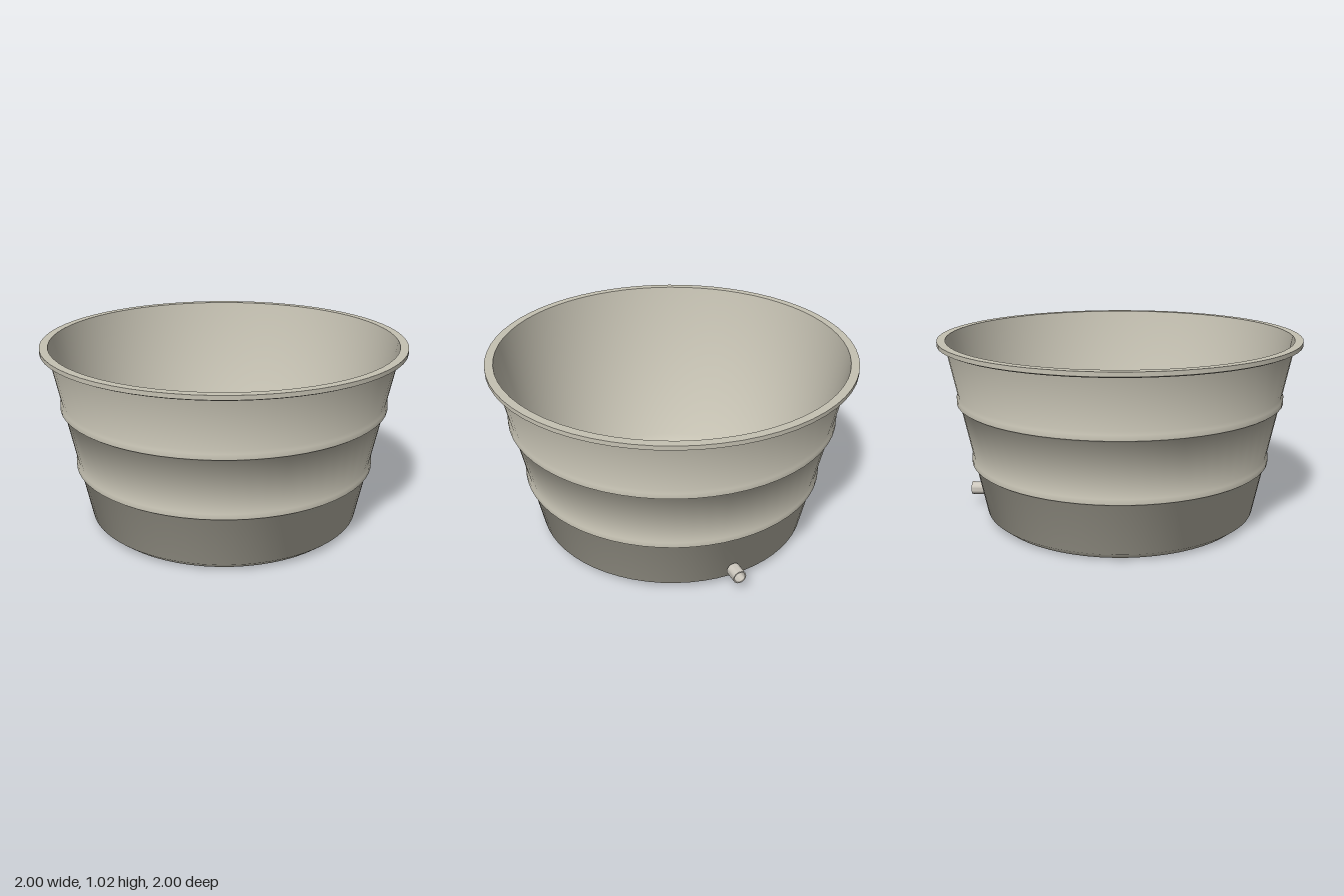
import * as THREE from 'three';
import { toCreasedNormals } from 'three/addons/utils/BufferGeometryUtils.js';

const SEGMENTS = 64;
const BASE_Y = 0.77;

export function createModel() {
  const tub = new THREE.Group();
  tub.name = 'tub';

  const shellMaterial = new THREE.MeshStandardMaterial({ color: 0xc6c2b3 });
  shellMaterial.name = 'warm grey plastic';
  const spoutMaterial = new THREE.MeshStandardMaterial({ color: 0xcdc8be });
  spoutMaterial.name = 'pale spout grey';

  const add = (name, geometry, material) => {
    const mesh = new THREE.Mesh(geometry, material);
    mesh.name = name;
    tub.add(mesh);
    return mesh;
  };
  const lathe = (profile, segments, crease) => toCreasedNormals(
    new THREE.LatheGeometry(profile.map(([r, y]) => new THREE.Vector2(r, y)), segments), crease);

  // Tapered outer wall radius at a height
  const wall = (y) => 0.765 + 0.201 * (y - 0.807);
  // Raised hoop: soft lower slope, flat band, bevelled top
  const hoop = (y) => [
    [wall(y - 0.03), y - 0.03],
    [wall(y) + 0.014, y - 0.016],
    [wall(y) + 0.014, y + 0.013],
    [wall(y + 0.03), y + 0.029],
  ];

  // Outside: flat base, chamfer, wall with two hoops
  add('outerShell', lathe([
    [0, BASE_Y], [0.72, BASE_Y], [0.765, 0.807],
    ...hoop(1.115), ...hoop(1.457),
    [wall(1.757), 1.757],
  ], SEGMENTS, 0.77), shellMaterial);

  // Flange around the top
  add('rim', lathe([
    [wall(1.757), 1.757], [0.985, 1.757], [1.0, 1.764], [1.0, 1.787], [0.955, 1.787],
  ], SEGMENTS, 0.5), shellMaterial);

  // Smooth inside wall running down to the floor
  add('innerWall', lathe([
    [0.955, 1.787], [0.758, 0.815], [0.716, 0.78],
  ], SEGMENTS, 0.9), shellMaterial);

  const floor = add('innerFloor', new THREE.CircleGeometry(0.716, SEGMENTS), shellMaterial);
  floor.rotation.x = -Math.PI / 2;
  floor.position.y = 0.78;

  // Short hollow drain pipe on the left side
  const spout = add('drainSpout', lathe([
    [0.03, -0.037], [0.037, -0.037], [0.037, 0.037], [0.03, 0.037], [0.03, -0.037],
  ], 24, 0.6), spoutMaterial);
  spout.rotation.z = -Math.PI / 2;
  spout.position.set(0.832, 0.871, 0);

  return tub;
}
